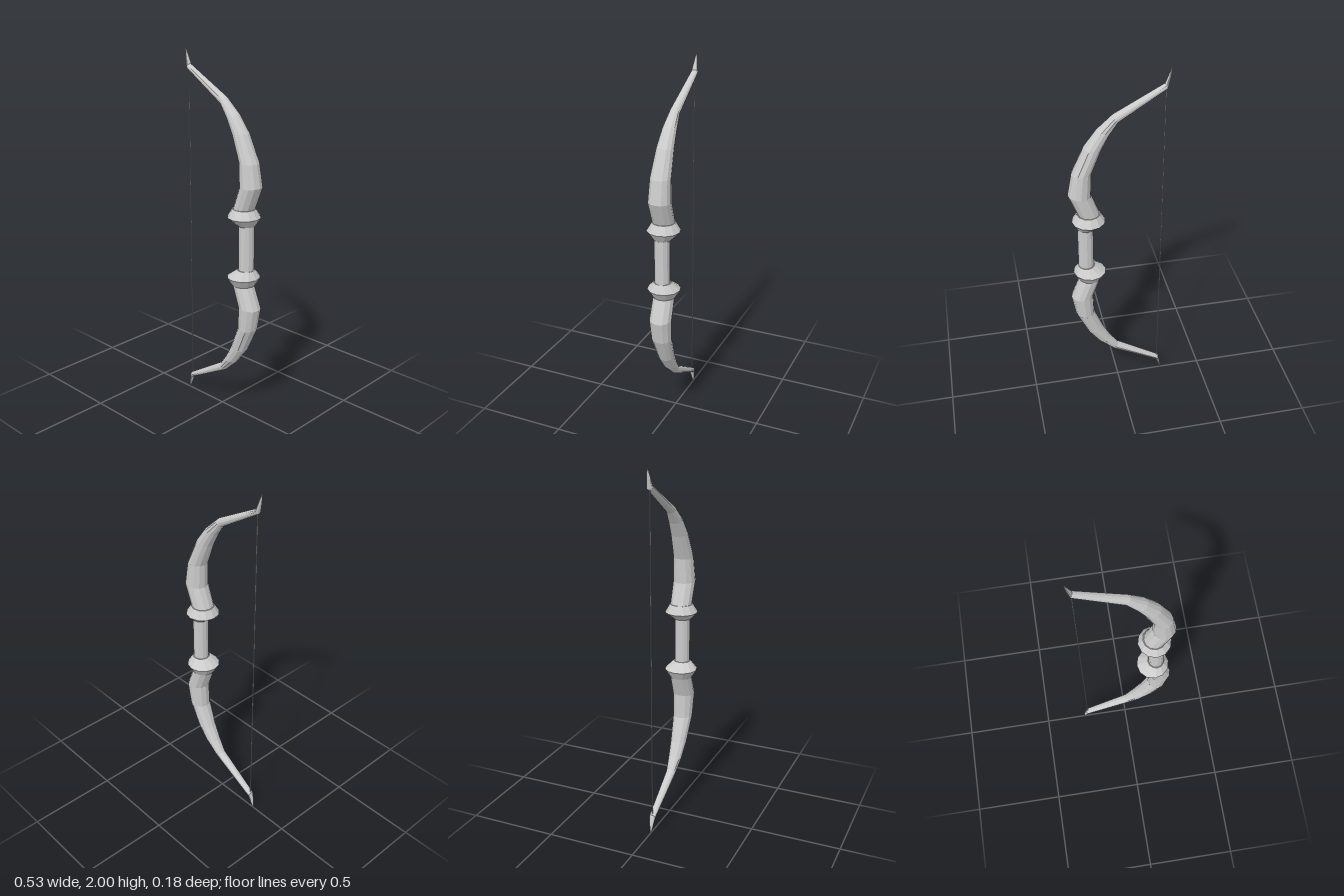
import * as THREE from 'three';

const SIDES = 12;
const material = new THREE.MeshStandardMaterial({ color: 0xcccccc, flatShading: true });

// Section: [inner x, inner y, outer x, outer y, half width in z]; lists run upwards.
function loft(sections) {
  const points = [];
  const index = [];
  for (const [ix, iy, ox, oy, w] of sections) {
    for (let j = 0; j < SIDES; j++) {
      const a = (j / SIDES) * Math.PI * 2;
      const c = Math.cos(a) / 2;
      points.push((ix + ox) / 2 + (ox - ix) * c, (iy + oy) / 2 + (oy - iy) * c, w * Math.sin(a));
    }
  }
  for (let i = 0; i < sections.length - 1; i++) {
    for (let j = 0; j < SIDES; j++) {
      const a = i * SIDES + j;
      const b = i * SIDES + ((j + 1) % SIDES);
      index.push(a, a + SIDES, b, b, a + SIDES, b + SIDES);
    }
  }
  // End caps
  const top = (sections.length - 1) * SIDES;
  for (let j = 1; j < SIDES - 1; j++) {
    index.push(0, j, j + 1, top, top + j + 1, top + j);
  }
  const indexed = new THREE.BufferGeometry();
  indexed.setAttribute('position', new THREE.Float32BufferAttribute(points, 3));
  indexed.setIndex(index);
  const geometry = indexed.toNonIndexed();
  geometry.computeVertexNormals();
  return geometry;
}

// Mirror a list of sections about the middle of the grip (y = 1)
const mirror = (sections) =>
  sections.map(([ix, iy, ox, oy, w]) => [ix, 2 - iy, ox, 2 - oy, w]).reverse();

const limb = [
  [0.098, 1.213, 0.214, 1.213, 0.06],
  [0.14, 1.33, 0.264, 1.34, 0.062],
  [0.136, 1.467, 0.242, 1.464, 0.056],
  [0.083, 1.6, 0.176, 1.61, 0.046],
  [0.042, 1.677, 0.11, 1.7, 0.038],
  [-0.001, 1.738, 0.024, 1.78, 0.027],
  [-0.249, 1.896, -0.235, 1.922, 0.018],
  [-0.262, 1.95, -0.248, 1.958, 0.011],
  [-0.268, 2, -0.264, 2, 0.003],
];

const collar = [
  [0.128, 1.124, 0.22, 1.124, 0.048],
  [0.067, 1.168, 0.247, 1.168, 0.091],
  [0.093, 1.214, 0.219, 1.214, 0.063],
];

export function createModel() {
  const bow = new THREE.Group();
  bow.name = 'bow';

  const add = (name, geometry) => {
    const mesh = new THREE.Mesh(geometry, material);
    mesh.name = name;
    bow.add(mesh);
    return mesh;
  };

  // Limbs with curved tips, and the collars at their roots
  add('upperLimb', loft(limb));
  add('lowerLimb', loft(mirror(limb)));
  add('upperCollar', loft(collar));
  add('lowerCollar', loft(mirror(collar)));

  // Straight grip between the collars
  const grip = add('grip', new THREE.CylinderGeometry(0.043, 0.043, 0.27, SIDES));
  grip.position.set(0.175, 1, 0);

  // Bowstring
  const string = add('bowstring', new THREE.CylinderGeometry(0.003, 0.003, 1.81, 6));
  string.position.set(-0.241, 1, 0);

  return bow;
}
